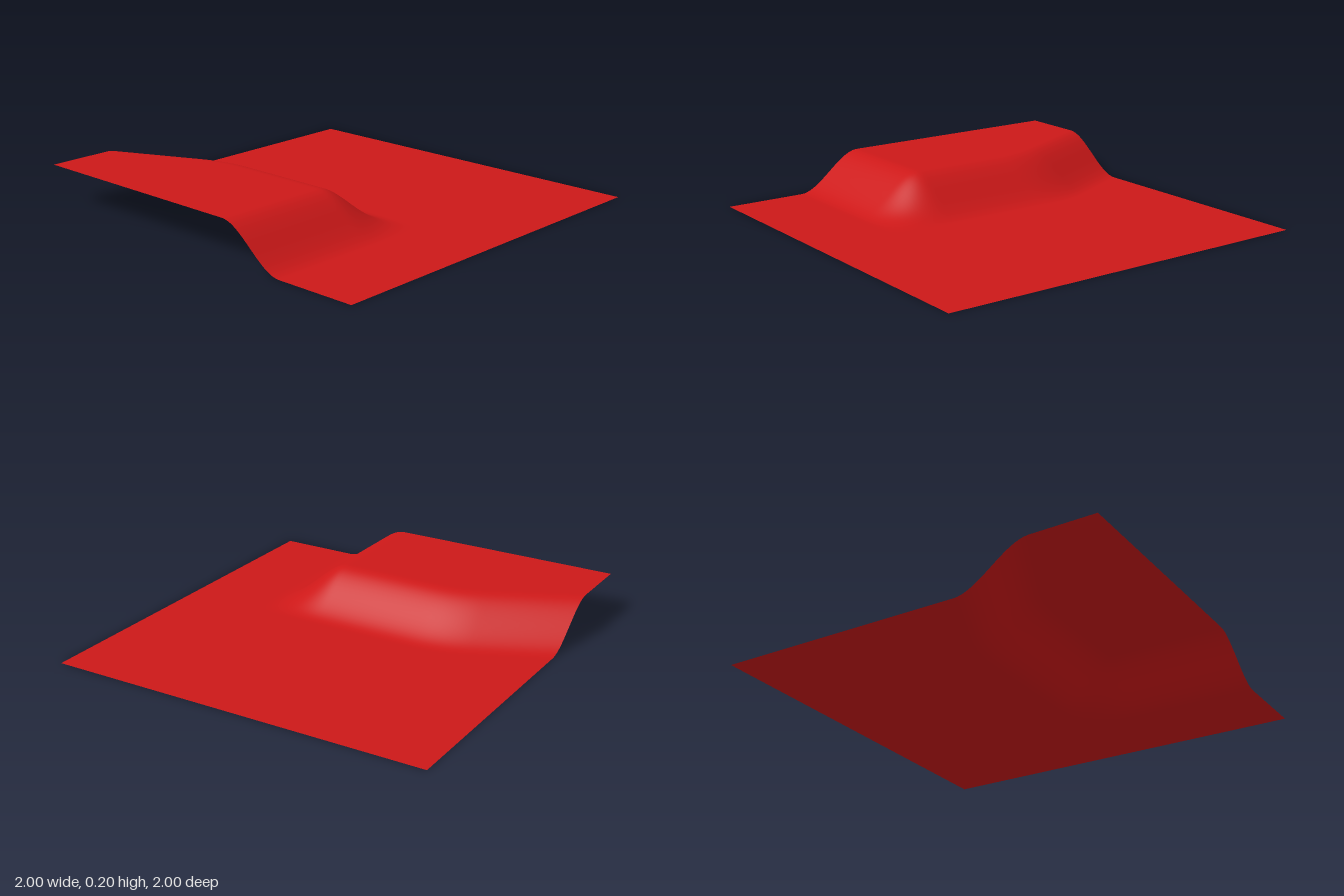
import * as THREE from 'three';

const SIZE = 2, SEGMENTS = 100, HEIGHT = 0.2, RAMP = 0.35;

// Polynomial smooth minimum, rounds the bend between two slope lines
function smoothMin(a, b, k) {
  const h = Math.max(k - Math.abs(a - b), 0) / k;
  return Math.min(a, b) - h * h * k * 0.25;
}

// Raised plateau at the front right, easing down to flat ground
function terrainHeight(x, z) {
  const straight = z - 0.05;
  const angled = (z - 0.05 + 0.46 * (x + 0.5)) / Math.hypot(1, 0.46);
  const back = THREE.MathUtils.smoothstep(smoothMin(straight, angled, 0.06), 0, RAMP);
  const side = THREE.MathUtils.smoothstep(0.58 - x, 0, RAMP);
  return HEIGHT * back * side;
}

export function createModel() {
  const group = new THREE.Group();
  group.name = 'terrainTile';

  // Square sheet lifted by the height rule
  const geometry = new THREE.PlaneGeometry(SIZE, SIZE, SEGMENTS, SEGMENTS);
  geometry.rotateX(-Math.PI / 2);
  const pos = geometry.attributes.position;
  for (let i = 0; i < pos.count; i++) {
    pos.setY(i, terrainHeight(pos.getX(i), pos.getZ(i)));
  }
  geometry.computeVertexNormals();

  const material = new THREE.MeshStandardMaterial({ color: 0xcc1818, side: THREE.DoubleSide });
  const ground = new THREE.Mesh(geometry, material);
  ground.name = 'groundSurface';
  group.add(ground);
  return group;
}
